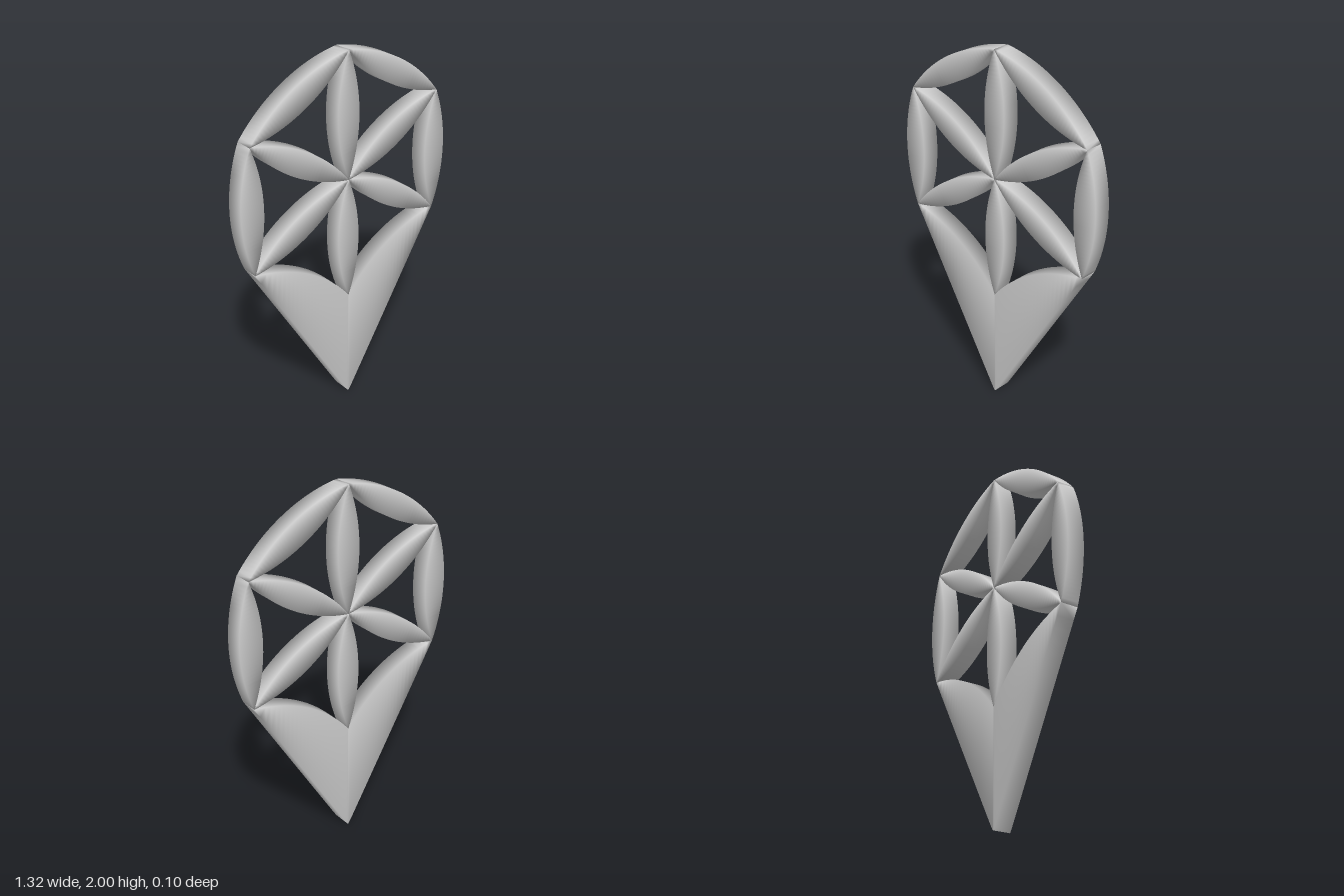
import * as THREE from 'three';
import { mergeVertices } from 'three/addons/utils/BufferGeometryUtils.js';

const DEPTH = 0.097;        // plate thickness
const R = 0.683;            // flower radius = petal length
const CENTER_Y = 1.317;
const SAG = 0.067;          // petal half width
const ARC = (R * R / 4 + SAG * SAG) / (2 * SAG);

// Height of the petal arc above its chord, t from 0 to 1 along the chord
const bulge = (t) => Math.max(0, Math.sqrt(ARC * ARC - (R * (t - 0.5)) ** 2) - (ARC - SAG));

// Bend a unit box by a rule, then weld it so the normals run smoothly over the edges
function bentBox(nx, ny, rule) {
  const box = new THREE.BoxGeometry(1, 1, 1, nx, ny, 1);
  const p = box.attributes.position;
  for (let i = 0; i < p.count; i++) {
    const [x, y] = rule(p.getX(i), p.getY(i));
    p.setXYZ(i, x, y, p.getZ(i) * DEPTH);
  }
  box.deleteAttribute('normal');
  box.deleteAttribute('uv');
  const geometry = mergeVertices(box, 1e-5);
  geometry.computeVertexNormals();
  return geometry;
}

export function createModel() {
  const group = new THREE.Group();
  const material = new THREE.MeshStandardMaterial({ color: 0xcccccc });
  const add = (name, geometry) => {
    const mesh = new THREE.Mesh(geometry, material);
    mesh.name = name;
    group.add(mesh);
    return mesh;
  };

  // Lens-shaped petal, upright and centred on its own middle
  const petal = bentBox(1, 32, (u, v) => [2 * u * bulge(v + 0.5), v * R]);
  const corner = (i) => {
    const a = Math.PI / 2 + i * Math.PI / 3;
    return new THREE.Vector2(Math.cos(a) * R, CENTER_Y + Math.sin(a) * R);
  };
  const addPetal = (name, a, b) => {
    const mesh = add(name, petal);
    mesh.position.set((a.x + b.x) / 2, (a.y + b.y) / 2, 0);
    mesh.rotation.z = Math.atan2(b.y - a.y, b.x - a.x) - Math.PI / 2;
  };

  // Six petals from the centre, four around the rim (the point replaces the lower two)
  const center = new THREE.Vector2(0, CENTER_Y);
  for (let i = 0; i < 6; i++) addPetal('innerPetal' + (i + 1), center, corner(i));
  [0, 1, 4, 5].forEach((i, n) => addPetal('rimPetal' + (n + 1), corner(i), corner(i + 1)));

  // Solid lower point: arched top edges, straight sides, slightly blunted tip
  const notch = corner(3), shoulder = corner(4), blunt = 0.008;
  const dir = shoulder.clone().sub(notch).divideScalar(R);
  const slope = Math.sqrt((shoulder.y + blunt) ** 2 - blunt ** 2) / shoulder.x;
  add('lowerPoint', bentBox(64, 1, (u, v) => {
    const t = Math.abs(2 * u) ** 1.5;
    const x = t * R * dir.x - bulge(t) * dir.y;
    const top = notch.y + t * R * dir.y + bulge(t) * dir.x;
    const bottom = Math.hypot(slope * x, blunt) - blunt;
    return [Math.sign(u) * Math.max(0, x), v > 0 ? top : bottom];
  }));

  return group;
}
